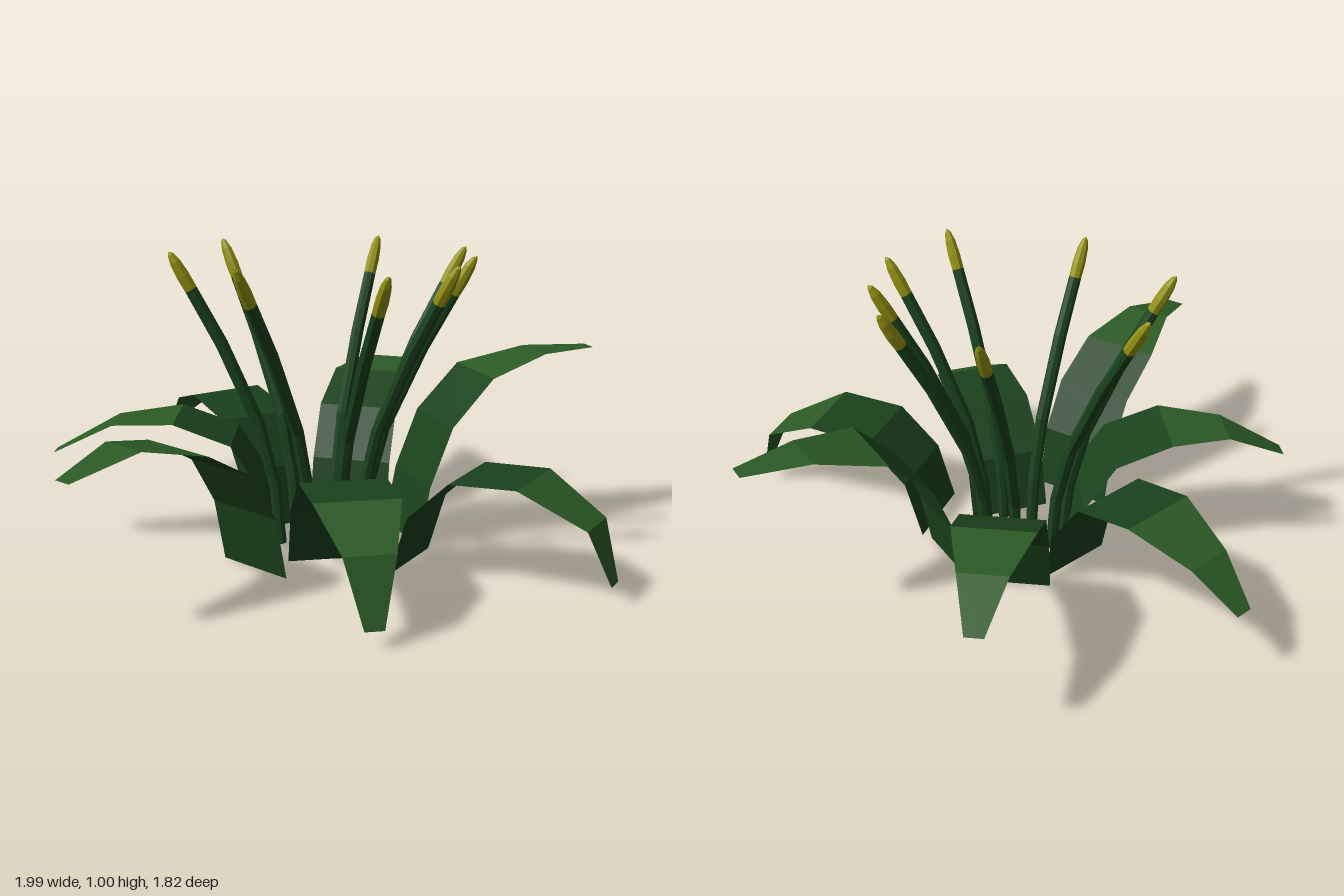
import * as THREE from 'three';

const mat = (color) => new THREE.MeshStandardMaterial({ color, side: THREE.DoubleSide, flatShading: true });
const leafDark = mat(0x1b421c), leafLight = mat(0x2b5a25), stalkGreen = mat(0x1a431d), budYellow = mat(0x96930f);

// Skin consecutive rows of points; closed rows form tubes
function skin(rows, closed) {
  const n = rows[0].length, index = [];
  for (let i = 0; i < rows.length - 1; i++) {
    for (let j = 0; j < (closed ? n : n - 1); j++) {
      const a = i * n + j, b = i * n + (j + 1) % n;
      index.push(a, b, b + n, a, b + n, a + n);
    }
  }
  const geo = new THREE.BufferGeometry().setFromPoints(rows.flat());
  geo.setIndex(index);
  geo.computeVertexNormals();
  return geo;
}

function part(name, geo, material) {
  const mesh = new THREE.Mesh(geo, material);
  mesh.name = name;
  return mesh;
}

// Leaf: flat strip arching outward; profile holds [distance outward, height]
const LEAF_WIDTHS = [0.28, 0.28, 0.28, 0.27, 0.16, 0.06];
function makeLeaf({ base, tip, profile }) {
  const dir = new THREE.Vector2(tip[0] - base[0], tip[1] - base[1]).normalize();
  const rows = profile.map(([s, y], i) => [-0.5, 0.5].map((k) => new THREE.Vector3(
    base[0] + dir.x * s + dir.y * k * LEAF_WIDTHS[i], y,
    base[1] + dir.y * s - dir.x * k * LEAF_WIDTHS[i])));
  const leaf = new THREE.Group();
  leaf.name = 'leaf';
  leaf.add(part('leafBase', skin(rows.slice(0, 4), false), leafDark));
  leaf.add(part('leafTip', skin(rows.slice(3), false), leafLight));
  return leaf;
}

// Round sweep through points with a radius at each
function sweep(points, radii, sides = 8) {
  const up = new THREE.Vector3(0, 1, 0);
  const rows = points.map((p, i) => {
    const tangent = points[Math.min(i + 1, points.length - 1)].clone()
      .sub(points[Math.max(i - 1, 0)]).normalize();
    const q = new THREE.Quaternion().setFromUnitVectors(up, tangent);
    return Array.from({ length: sides }, (_, j) => {
      const a = -j / sides * Math.PI * 2;
      return new THREE.Vector3(Math.cos(a), 0, Math.sin(a))
        .multiplyScalar(radii[i]).applyQuaternion(q).add(p);
    });
  });
  return skin(rows, true);
}

// Stalk: green stem bending outward, ending in a pointed yellow bud
function makeStalk([bx, bz, tx, tz]) {
  const at = ([f, y]) => new THREE.Vector3(bx + (tx - bx) * f, y, bz + (tz - bz) * f);
  const stem = [[0, 0], [0.05, 0.2], [0.2, 0.42], [0.53, 0.69], [0.8, 0.87]].map(at);
  const bud = [[0.8, 0.87], [0.87, 0.915], [0.94, 0.96], [0.98, 0.985], [1, 0.993]].map(at);
  const stalk = new THREE.Group();
  stalk.name = 'stalk';
  stalk.add(part('stem', sweep(stem, [0.02, 0.021, 0.022, 0.022, 0.021]), stalkGreen));
  stalk.add(part('bud', sweep(bud, [0.021, 0.022, 0.018, 0.01, 0.001]), budYellow));
  return stalk;
}

const LEAVES = [
  { base: [0.28, 0.06], tip: [1, 0.06], profile: [[0, 0], [0.04, 0.2], [0.12, 0.4], [0.27, 0.555], [0.5, 0.61], [0.72, 0.607]] },
  { base: [0.19, 0.318], tip: [0.62, 0.87], profile: [[0, 0], [0.06, 0.2], [0.2, 0.335], [0.425, 0.35], [0.635, 0.24], [0.7, 0.06]] },
  { base: [-0.043, 0.203], tip: [-0.19, 0.905], profile: [[0, 0], [0.06, 0.2], [0.22, 0.34], [0.45, 0.35], [0.64, 0.25], [0.715, 0.05]] },
  { base: [-0.3, 0.19], tip: [-0.98, 0.52], profile: [[0, 0], [0.045, 0.21], [0.14, 0.37], [0.32, 0.475], [0.53, 0.525], [0.755, 0.47]] },
  { base: [-0.135, -0.03], tip: [-0.83, -0.34], profile: [[0, 0], [0.045, 0.21], [0.15, 0.37], [0.34, 0.44], [0.55, 0.42], [0.76, 0.31]] },
  { base: [-0.08, -0.17], tip: [-0.232, -0.91], profile: [[0, 0], [0.045, 0.2], [0.16, 0.365], [0.38, 0.41], [0.6, 0.345], [0.755, 0.23]] },
  { base: [0.17, -0.16], tip: [0.623, -0.75], profile: [[0, 0], [0.045, 0.2], [0.14, 0.375], [0.33, 0.465], [0.56, 0.47], [0.744, 0.385]] },
];

// Stalk foot x, z and tip x, z
const STALKS = [
  [0.05, 0, 0.315, -0.24], [0.125, 0.065, 0.485, 0.098], [0.1, 0.125, 0.42, 0.3], [0.07, 0.165, 0.28, 0.46],
  [-0.01, 0.19, 0, 0.555], [-0.06, 0.08, -0.38, 0.255], [-0.14, -0.005, -0.47, -0.15], [-0.065, -0.05, -0.215, -0.37],
];

export function createModel() {
  const plant = new THREE.Group();
  plant.name = 'plant';
  LEAVES.forEach((l) => plant.add(makeLeaf(l)));
  STALKS.forEach((s) => plant.add(makeStalk(s)));
  return plant;
}
